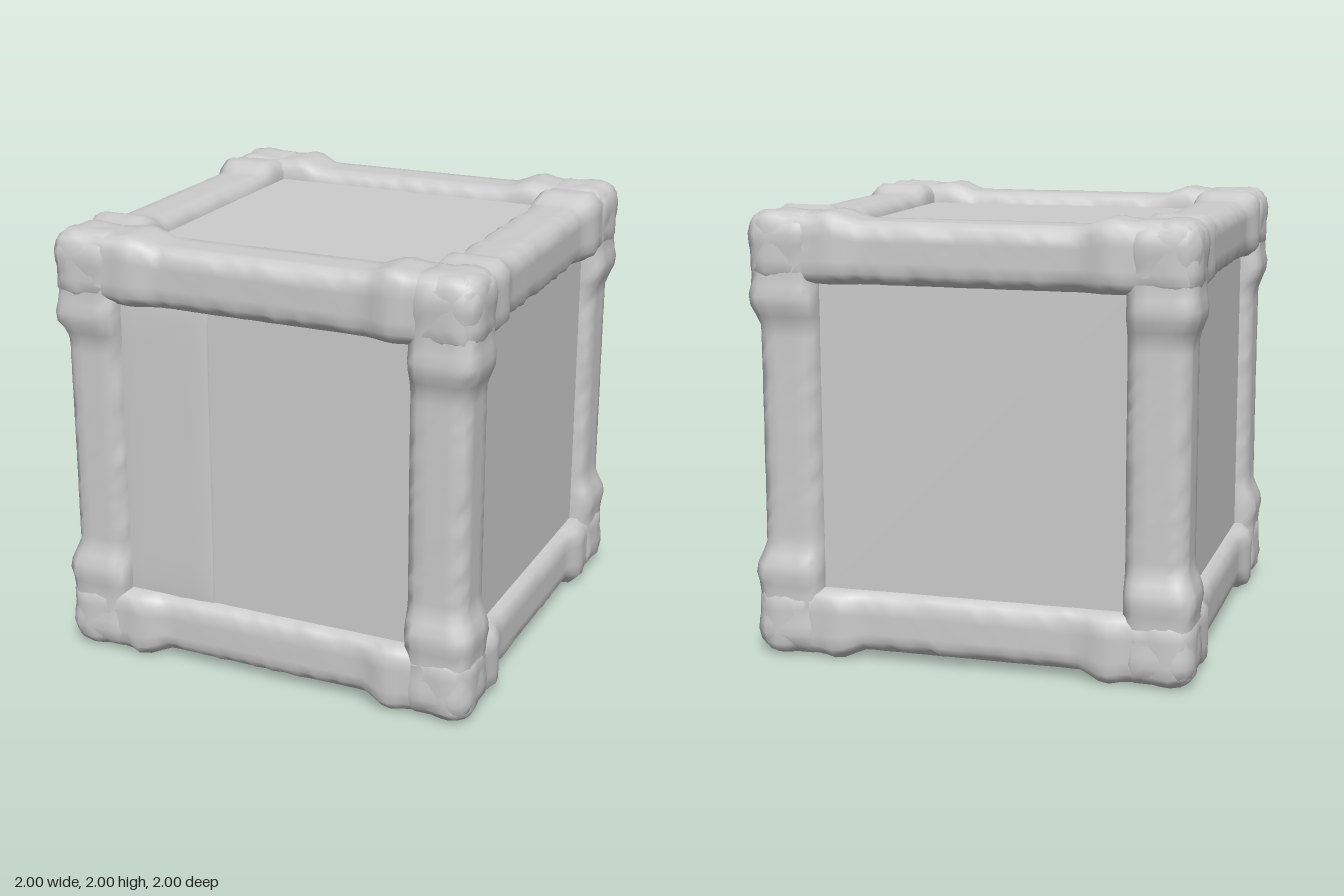
import * as THREE from 'three';
import { mergeVertices } from 'three/addons/utils/BufferGeometryUtils.js';

const HALF = 0.985; // half length of a beam
const INNER = 0.685; // inner edge of the frame
const PANEL = 0.9; // distance of the recessed panels from the centre

function seeded(seed) {
  let s = seed * 7919 + 17;
  return () => {
    s = (s * 16807) % 2147483647;
    return s / 2147483647;
  };
}

// Box with rounded, chipped edges and smooth normals
function roughBox(w, h, d, segments, radius, chip, seed, shape) {
  let g = new THREE.BoxGeometry(w, h, d, ...segments);
  g.deleteAttribute('uv');
  g.deleteAttribute('normal');
  g = mergeVertices(g, 1e-4);
  const random = seeded(seed);
  const pos = g.attributes.position;
  const p = new THREE.Vector3();
  const q = new THREE.Vector3();
  const limit = new THREE.Vector3(w / 2 - radius, h / 2 - radius, d / 2 - radius);
  for (let i = 0; i < pos.count; i++) {
    p.fromBufferAttribute(pos, i);
    q.copy(p).clamp(limit.clone().negate(), limit);
    p.sub(q);
    const atEdge = [p.x, p.y, p.z].filter((v) => Math.abs(v) > radius * 0.2).length > 1;
    p.setLength(radius * (1 - (atEdge ? chip : chip * 0.08) * random())).add(q);
    if (shape) shape(p);
    pos.setXYZ(i, p.x, p.y, p.z);
  }
  g.computeVertexNormals();
  return g;
}

// Upright beam in the +x +z corner: worn thinner in the middle, ridged where the corner caps end
function beamGeometry(seed) {
  const width = HALF - INNER;
  const centre = (HALF + INNER) / 2;
  const g = roughBox(width, HALF * 2, width, [6, 44, 6], 0.055, 0.35, seed, (p) => {
    const t = Math.abs(p.y);
    const dip = 0.026 * (1 - THREE.MathUtils.smoothstep(t, 0.48, 0.58));
    const ridge = 0.013 * Math.exp(-(((t - 0.62) / 0.05) ** 2)) + 0.011 * Math.exp(-(((t - 0.88) / 0.05) ** 2));
    if (p.x > 0) p.x += (ridge - dip) * Math.min(1, p.x / 0.09);
    if (p.z > 0) p.z += (ridge - dip) * Math.min(1, p.z / 0.09);
  });
  return g.translate(centre, 0, centre);
}

export function createModel() {
  const model = new THREE.Group();
  model.name = 'crate';
  const grey = new THREE.MeshStandardMaterial({ color: 0xcccccc });
  grey.name = 'grey';
  const body = new THREE.Group();
  body.name = 'body';
  body.position.y = 1;
  model.add(body);

  const add = (name, geometry, parent) => {
    const mesh = new THREE.Mesh(geometry, grey);
    mesh.name = name;
    parent.add(mesh);
    return mesh;
  };

  // Recessed panels on all six sides
  add('panels', new THREE.BoxGeometry(PANEL * 2, PANEL * 2, PANEL * 2), body);

  // Slightly raised plank on the left of the front panel
  const plank = roughBox(0.48, 1.5, 0.06, [8, 12, 4], 0.02, 0.2, 5);
  add('frontPlank', plank, body).position.set(-0.5, 0, PANEL - 0.015);

  // Twelve frame beams, four along each axis
  const axes = [
    ['uprightBeams', 0, 0],
    ['crossBeams', 0, Math.PI / 2],
    ['depthBeams', Math.PI / 2, 0],
  ];
  axes.forEach(([name, rx, rz], a) => {
    const set = new THREE.Group();
    set.name = name;
    set.rotation.set(rx, 0, rz);
    body.add(set);
    for (let k = 0; k < 4; k++) {
      add('beam', beamGeometry(1 + a * 4 + k), set).rotation.y = (k * Math.PI) / 2;
    }
  });
  return model;
}
